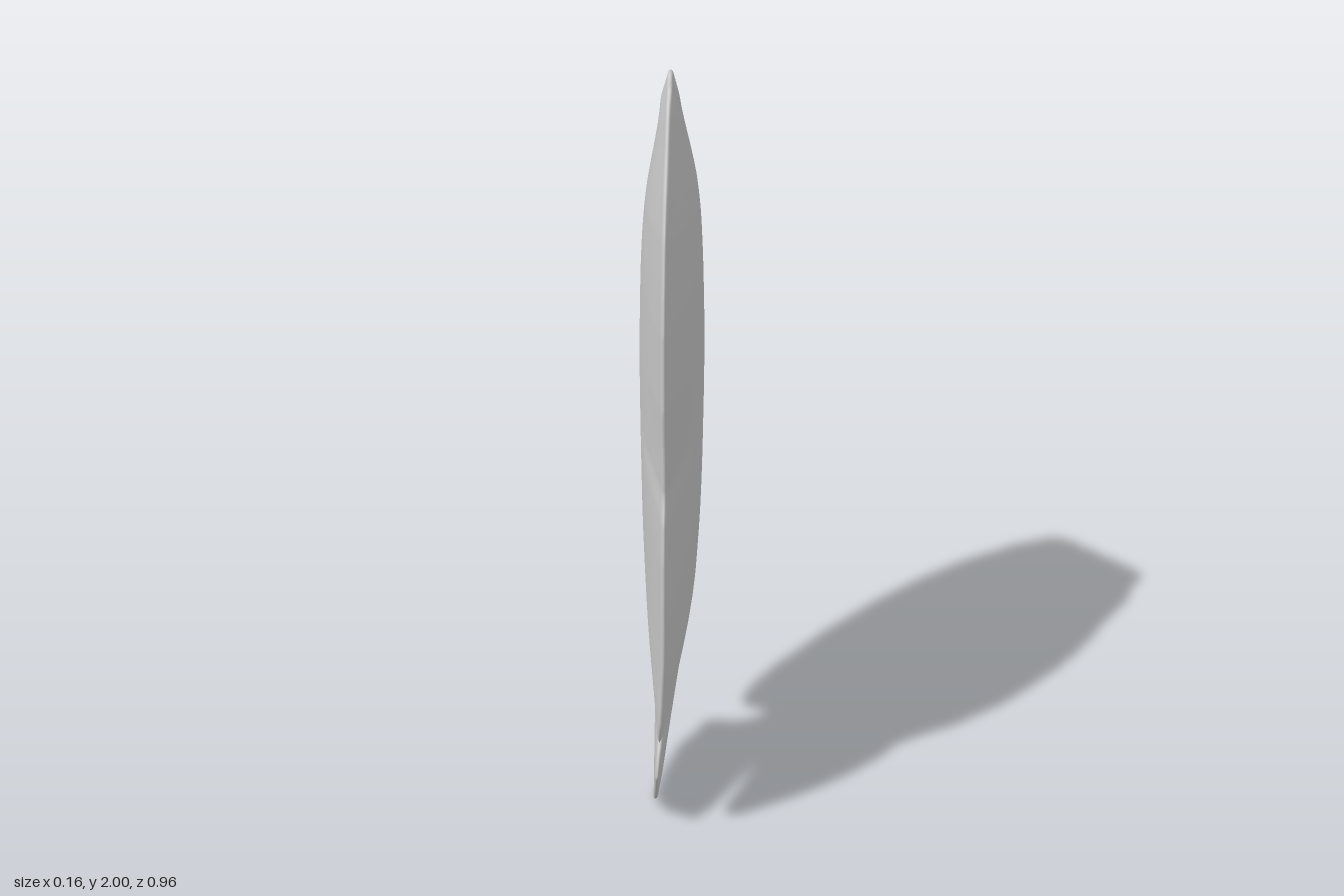
import * as THREE from 'three';
import { mergeVertices } from 'three/addons/utils/BufferGeometryUtils.js';

// Edge outlines, head to tail: z, y, and height of the matching point on the spine
const frontEdge = [
  [.1, 2, 1.9], [.12, 2, 1.88], [.14, 1.965, 1.86], [.19, 1.955, 1.84], [.22, 1.935, 1.82],
  [.275, 1.865, 1.77], [.36, 1.775, 1.7], [.42, 1.685, 1.62], [.46, 1.55, 1.52], [.48, 1.45, 1.43],
  [.475, 1.235, 1.23], [.445, 1.1, 1.12], [.43, .98, 1.05], [.46, .92, 1.01], [.475, .82, .95],
  [.475, .68, .88], [.455, .495, .8], [.43, .345, .74], [.4, .285, .71], [.365, .283, .69],   // fin tip
  [.305, .32, .65], [.215, .385, .58], [.135, .435, .48],                                     // notch
  [.19, .35, .4], [.26, .28, .33], [.325, .215, .27], [.345, .16, .22], [.24, .055, .16],     // tail
  [.19, .025, .14], [.125, 0, .1],
];
const backEdge = [
  [.1, 2, 1.9], [.085, 2, 1.88], [0, 1.93, 1.83], [-.125, 1.82, 1.74], [-.295, 1.67, 1.6],
  [-.36, 1.595, 1.54], [-.425, 1.41, 1.39], [-.47, 1.18, 1.19], [-.48, 1.01, 1.05], [-.465, .8, .9],
  [-.425, .6, .78], [-.35, .405, .68], [-.295, .335, .64], [-.24, .3, .61],                   // fin tip
  [-.195, .315, .58], [-.16, .37, .55], [-.11, .435, .51], [-.095, .42, .47],                 // notch
  [-.1, .345, .4], [-.13, .27, .31], [-.17, .215, .25], [-.195, .175, .21], [-.11, .07, .15], // tail
  [0, .025, .12], [.125, 0, .1],
];

// Half thickness and z of the spine, evenly spaced from tail to head
const spine = new THREE.SplineCurve([
  [.012, .09], [.036, .03], [.066, .02], [.077, .02], [.079, .02], [.068, .04], [.026, .095],
].map(([h, z]) => new THREE.Vector2(h, z)));

function edgeAt(edge, s) {
  let i = 0;
  while (i < edge.length - 2 && edge[i + 1][2] > s) i++;
  const [a, b] = [edge[i], edge[i + 1]];
  const k = (a[2] - s) / (a[2] - b[2]);
  return [a[0] + (b[0] - a[0]) * k, a[1] + (b[1] - a[1]) * k];
}

// The tail sways slightly to one side
const sway = (y) => -0.035 * Math.pow(Math.max(0, 1 - y / 0.6), 1.5);

function bodyGeometry() {
  // Rows pass through every outline point, plus even steps between
  const heights = [...frontEdge, ...backEdge].map((p) => p[2]);
  for (let i = 1; i < 60; i++) heights.push(0.1 + 0.03 * i);
  heights.sort((a, b) => b - a);
  const rows = heights.filter((s, i) => i === 0 || heights[i - 1] - s > 1e-6);

  // Steps from rim to spine, closer together at the rim
  const steps = [0, .015, .04, .08, .14, .22, .32, .44, .56, .68, .8, .9, 1];
  const n = steps.length;
  const positions = [], index = [];

  for (const [edge, side] of [[frontEdge, 1], [backEdge, -1]]) {
    for (const face of [1, -1]) {
      const base = positions.length / 3;
      rows.forEach((s, i) => {
        const [ez, ey] = edgeAt(edge, s);
        const { x: half, y: sz } = spine.getPoint((s - 0.1) / 1.8);
        steps.forEach((t, j) => {
          const rim = 0.005 * Math.sqrt(Math.min(1, t / 0.04));
          const w = rim + (half - 0.005) * Math.pow(Math.sin(t * Math.PI / 2), 1.15);
          const y = ey + (s - ey) * t;
          positions.push(sway(y) + face * w, y, ez + (sz - ez) * t);
          if (i === 0 || j === 0) return;
          const d = base + i * n + j, c = d - 1, b = d - n, a = b - 1;
          if (side * face > 0) index.push(a, c, b, b, c, d);
          else index.push(a, b, c, b, d, c);
        });
      });
    }
  }
  const g = new THREE.BufferGeometry();
  g.setAttribute('position', new THREE.Float32BufferAttribute(positions, 3));
  g.setIndex(index);
  const welded = mergeVertices(g, 1e-5);
  welded.computeVertexNormals();
  return welded;
}

export function createModel() {
  const group = new THREE.Group();
  group.name = 'flatFish';
  const body = new THREE.Mesh(
    bodyGeometry(),
    new THREE.MeshStandardMaterial({ color: 0xcccccc, side: THREE.DoubleSide }),
  );
  body.name = 'bodyWithFinsAndTail';
  group.add(body);
  return group;
}
